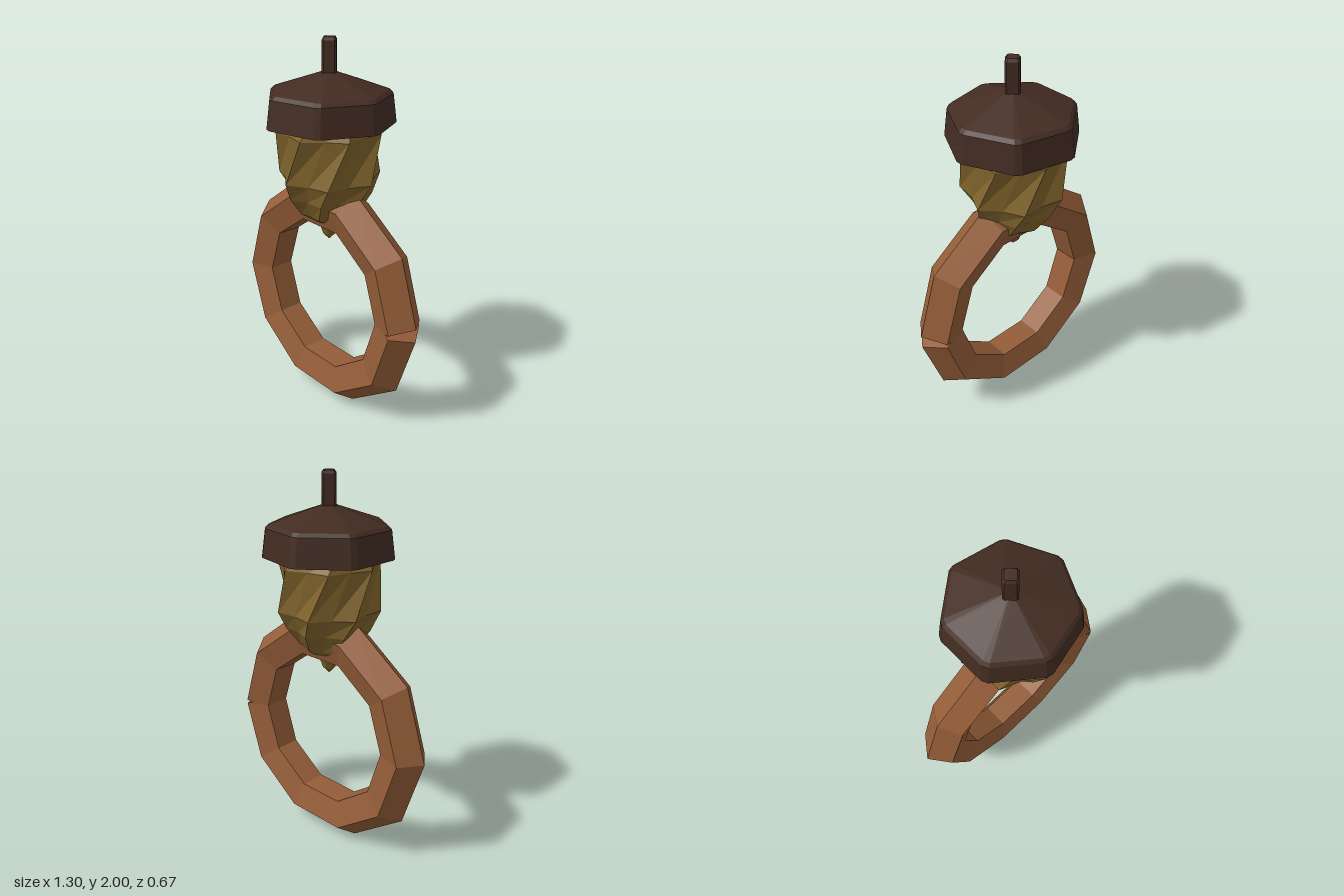
import * as THREE from 'three';

const mat = (name, color) => new THREE.MeshStandardMaterial({ name, color, flatShading: true, side: THREE.DoubleSide });

// Skin a list of closed cross-sections, with optional end caps
function loft(sections, capStart, capEnd) {
  const pos = [];
  const tri = (...pts) => pts.forEach((p) => pos.push(p.x, p.y, p.z));
  const n = sections[0].length;
  const centre = (s) => s.reduce((a, p) => a.add(p), new THREE.Vector3()).divideScalar(n);
  for (let i = 0; i < sections.length - 1; i++) {
    for (let j = 0; j < n; j++) {
      const k = (j + 1) % n;
      const [a, b, c, d] = [sections[i][j], sections[i][k], sections[i + 1][k], sections[i + 1][j]];
      tri(a, b, c);
      tri(a, c, d);
    }
  }
  const first = sections[0], last = sections[sections.length - 1];
  const c0 = centre(first), c1 = centre(last);
  for (let j = 0; j < n; j++) {
    const k = (j + 1) % n;
    if (capStart) tri(c0, first[k], first[j]);
    if (capEnd) tri(c1, last[j], last[k]);
  }
  const geo = new THREE.BufferGeometry();
  geo.setAttribute('position', new THREE.Float32BufferAttribute(pos, 3));
  geo.computeVertexNormals();
  return geo;
}

const polar = (r, a, y) => new THREE.Vector3(r * Math.sin(a), y, r * Math.cos(a));

// Horizontal polygon with one corner towards +x and slightly clipped corners
function clippedPolygon(sides, r, y, clip) {
  const pts = [];
  for (let i = 0; i < sides; i++) {
    const a = Math.PI / 2 + (i * 2 * Math.PI) / sides;
    pts.push(polar(r, a - clip, y), polar(r, a + clip, y));
  }
  return pts;
}

export function createModel() {
  const group = new THREE.Group();
  const wood = mat('ring wood', 0x945d38);
  const nutMat = mat('nut olive', 0x80642c);
  const capMat = mat('cap dark brown', 0x432c22);
  const add = (name, geo, material) => {
    const mesh = new THREE.Mesh(geo, material);
    mesh.name = name;
    group.add(mesh);
  };

  // Ten-sided ring with a pentagonal section, split on its left side
  const ringSections = [];
  for (let k = 0; k <= 10; k++) {
    const at = (k * Math.PI) / 5;
    const end = k === 0 ? 1 : k === 10 ? -1 : 0;
    const dir = at + (end * Math.PI) / 10;
    const stretch = end ? 0.119 : 0.125;
    const section = [];
    for (let j = 0; j < 5; j++) {
      const a = Math.PI / 2 + (j * 2 * Math.PI) / 5;
      const out = stretch * Math.sin(a);
      section.push(new THREE.Vector3(
        0.53 * Math.cos(at) + out * Math.cos(dir),
        0.623 + 0.53 * Math.sin(at) + out * Math.sin(dir),
        0.121 * Math.cos(a)));
    }
    ringSections.push(section);
  }
  add('ring', loft(ringSections, true, true), wood);

  // Nut with seven twisting ridges: [y, ridge radius, valley radius]
  const nutLevels = [
    [1.07, 0.11, 0.1], [1.1, 0.155, 0.13], [1.2, 0.225, 0.185],
    [1.3, 0.272, 0.228], [1.54, 0.272, 0.235], [1.6, 0.24, 0.215], [1.68, 0.17, 0.16],
  ];
  const nutSections = nutLevels.map(([y, ridge, valley]) => {
    const pts = [];
    for (let j = 0; j < 14; j++) {
      const a = -0.08 + (j * Math.PI) / 7 + (y - 1.3) * 1.6;
      pts.push(polar(j % 2 ? valley : ridge, a, y));
    }
    return pts;
  });
  add('nut', loft(nutSections, true, true), nutMat);

  // Pointed tip below the nut
  const tip = [[0.002, 0.94], [0.035, 0.975], [0.052, 1.025], [0.06, 1.1]].map(([r, y]) => clippedPolygon(7, r, y, 0.1));
  add('nutTip', loft(tip, true, true), nutMat);

  // Hollow seven-sided cap
  const cap = [[0.338, 1.58], [0.318, 1.725], [0.3, 1.743], [0.03, 1.835]].map(([r, y]) => clippedPolygon(7, r, y, 0.05));
  add('cap', loft(cap, false, true), capMat);

  // Square stem with a bevelled top
  const stem = [[0.045, 1.8], [0.045, 1.985], [0.034, 2]].map(([r, y]) => clippedPolygon(4, r, y, 0.15));
  add('stem', loft(stem, true, true), capMat);

  return group;
}
